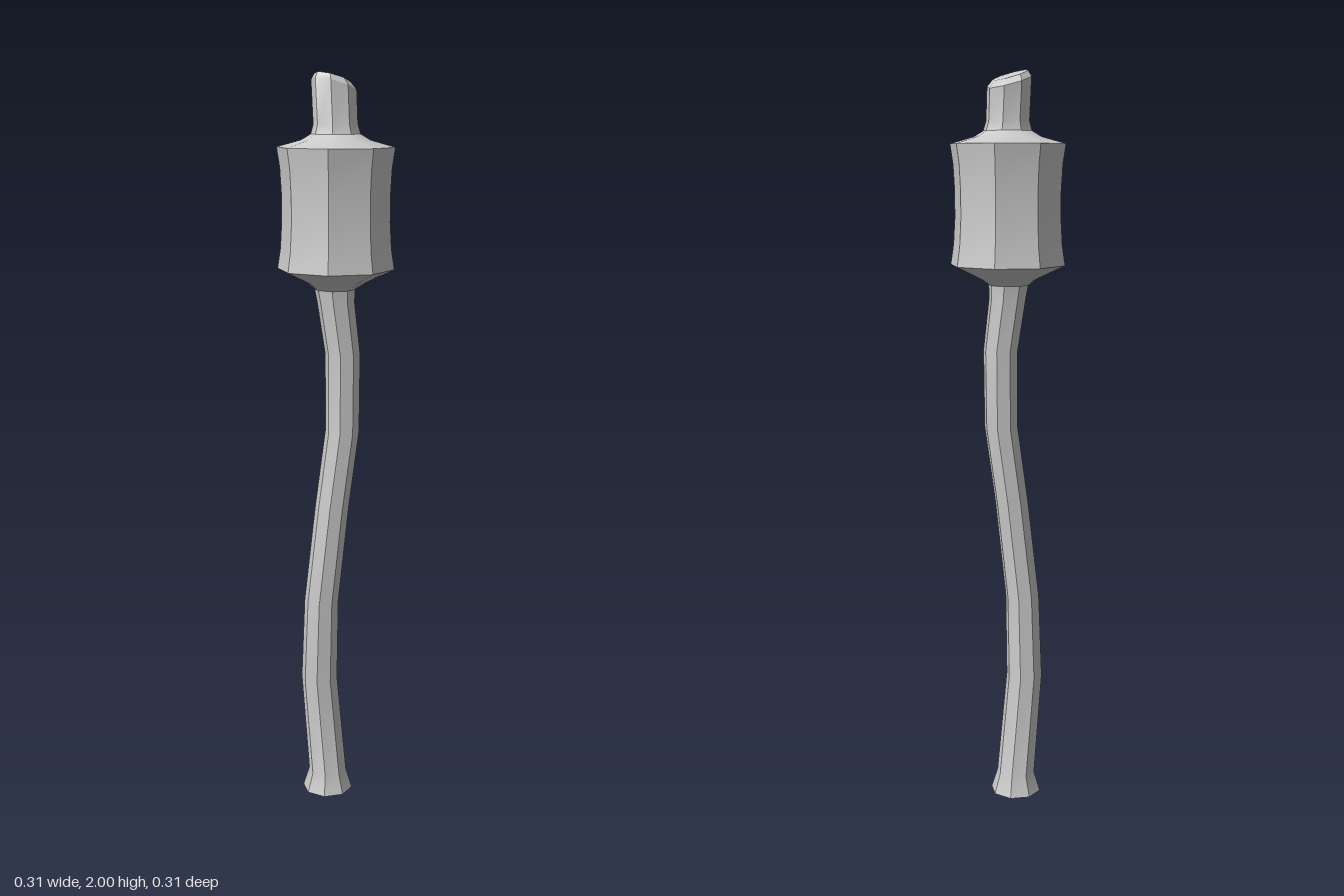
import * as THREE from 'three';
import { toCreasedNormals } from 'three/addons/utils/BufferGeometryUtils.js';

const SIDES = 8;

// Skins a stack of octagonal rings [y, centreX, centreZ, radius, slope], listed bottom to top.
function skinRings(rings, { capBottom = false, capTop = false } = {}) {
  const pos = [], index = [];
  for (const [y, cx, cz, r, slope = 0] of rings) {
    for (let i = 0; i < SIDES; i++) {
      const a = (i / SIDES) * Math.PI * 2;
      const dz = Math.cos(a) * r;
      pos.push(cx + Math.sin(a) * r, y + slope * dz, cz + dz);
    }
  }
  for (let k = 0; k < rings.length - 1; k++) {
    for (let i = 0; i < SIDES; i++) {
      const j = (i + 1) % SIDES;
      const a = k * SIDES + i, b = k * SIDES + j;
      index.push(a, b, b + SIDES, a, b + SIDES, a + SIDES);
    }
  }
  const top = (rings.length - 1) * SIDES;
  for (let i = 1; i < SIDES - 1; i++) {
    if (capBottom) index.push(0, i + 1, i);
    if (capTop) index.push(top, top + i, top + i + 1);
  }
  const geo = new THREE.BufferGeometry();
  geo.setAttribute('position', new THREE.Float32BufferAttribute(pos, 3));
  geo.setIndex(index);
  return toCreasedNormals(geo, 0.5);
}

export function createModel() {
  const group = new THREE.Group();
  const material = new THREE.MeshStandardMaterial({ color: 0xcccccc });
  const add = (name, rings, caps) => {
    const mesh = new THREE.Mesh(skinRings(rings, caps), material);
    mesh.name = name;
    group.add(mesh);
  };

  // Rings shared by neighbouring parts
  const collar = [1.445, 0, 0.003, 0.054];
  const neck = [1.845, 0, 0, 0.065];

  // Long crooked handle with a flared foot
  add('handle', [
    [0.005, -0.011, 0.021, 0.07],
    [0.06, -0.011, 0.021, 0.053],
    [0.35, -0.017, 0.045, 0.05],
    [0.58, -0.009, 0.043, 0.047],
    [0.85, 0.004, 0.016, 0.046],
    [1.06, 0.013, -0.012, 0.046],
    [1.27, 0.011, -0.015, 0.047],
    [1.41, 0.002, 0.001, 0.05],
    collar,
  ], { capBottom: true });

  // Waisted head with sharp rims
  add('head', [
    collar,
    [1.463, 0, 0, 0.08],
    [1.498, 0, 0, 0.155],
    [1.55, 0, 0, 0.147],
    [1.62, 0, 0, 0.143],
    [1.69, 0, 0, 0.143],
    [1.76, 0, 0, 0.147],
    [1.812, 0, 0, 0.155],
    [1.83, 0, 0, 0.09],
    neck,
  ]);

  // Stub of the handle above the head, cut at a slant
  add('topStub', [
    neck,
    [1.87, -0.001, 0, 0.058],
    [1.968, -0.008, 0, 0.059, 0.3],
    [1.985, -0.008, 0.004, 0.047, 0.32],
  ], { capTop: true });

  return group;
}
